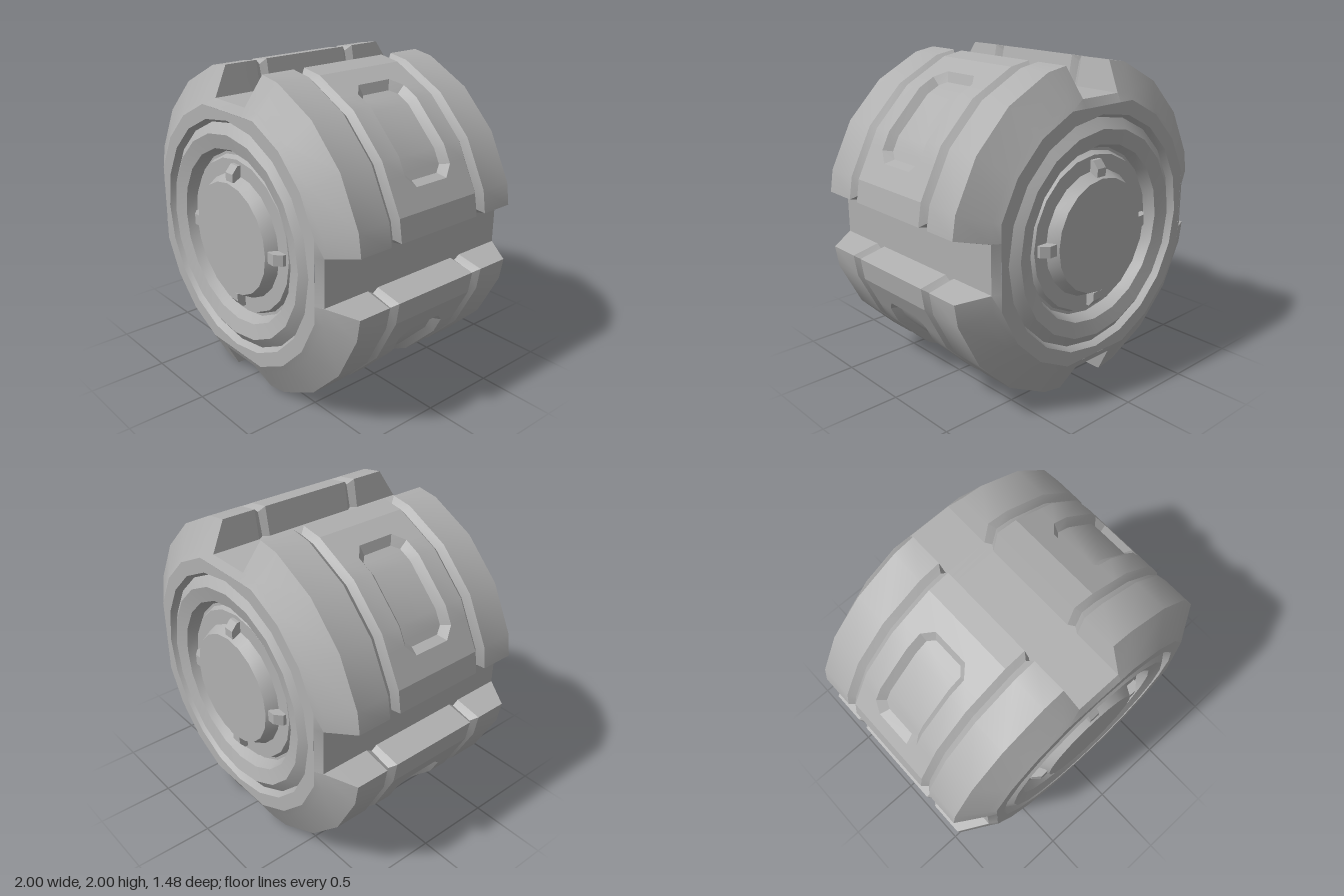
import * as THREE from 'three';
import { toCreasedNormals } from 'three/addons/utils/BufferGeometryUtils.js';

const SIDES = 20, R = 1.028, RIM_R = 0.814, RIM_FLAT = 0.775;
const CREASE = 0.45, DEG = Math.PI / 180;

// Collects quads (corners counter-clockwise from outside) into a creased geometry
function quadGeometry(quads) {
  const pos = [];
  for (const [a, b, c, d] of quads) pos.push(...a, ...b, ...c, ...a, ...c, ...d);
  const g = new THREE.BufferGeometry();
  g.setAttribute('position', new THREE.Float32BufferAttribute(pos, 3));
  return toCreasedNormals(g, CREASE);
}

// Outline of the drum with its four slots: floor edge, wall top, four facet corners, mirrored
function outline(z, r, slotX, slotY, floorX, floorY) {
  const quarter = [[floorY, floorX], [slotY, slotX]];
  for (const a of [18, 36, 54, 72]) quarter.push([r * Math.cos(a * DEG), r * Math.sin(a * DEG)]);
  quarter.push([slotX, slotY], [floorX, floorY]);
  const loop = [];
  for (let k = 0; k < 4; k++) {
    const c = [1, 0, -1, 0][k], s = [0, 1, 0, -1][k];
    for (const [x, y] of quarter) loop.push([x * c - y * s, x * s + y * c, z]);
  }
  return loop;
}
const full = z => outline(z, R, 0.18, 1, 0.145, 0.825);
const groove = z => outline(z, R - 0.033, 0.205, 0.966, 0.17, 0.825);

// Drum shell: chamfered ends, two V grooves; middle band left open for the pocket panels
function shellGeometry() {
  const half = [
    full(0.305), groove(0.342), full(0.382), full(0.6),
    outline(0.7, R + (RIM_R - R) * 0.8, 0.146, 0.826, 0.145, 0.825),
    outline(0.727, RIM_R, 0.145, RIM_FLAT, 0.145, RIM_FLAT),
  ];
  const back = half.map(l => l.map(([x, y, z]) => [x, y, -z])).reverse();
  const sections = [...back, ...half], quads = [];
  const n = sections[0].length, mid = back.length - 1;
  for (let k = 0; k < sections.length - 1; k++) {
    for (let i = 0; i < n; i++) {
      if (k === mid && i % 8 >= 2 && i % 8 <= 4) continue;
      const j = (i + 1) % n, a = sections[k], b = sections[k + 1];
      quads.push([a[i], a[j], b[j], b[i]]);
    }
  }
  return quadGeometry(quads);
}

// Point on the faceted drum at an angle, sunk by depth
function onDrum(angle, z, depth = 0) {
  const step = 360 / SIDES, local = ((angle % step) + step) % step - step / 2;
  const r = R * Math.cos(step / 2 * DEG) / Math.cos(local * DEG) - depth;
  return [r * Math.cos(angle * DEG), r * Math.sin(angle * DEG), z];
}

// Curved panel with a sunken eight-sided pocket
function panelGeometry() {
  const edge = 0.305, quads = [];
  const outA = [18, 25.5, 29.5, 36, 54, 60.5, 64.5, 72];
  const outW = [0.12, 0.12, 0.18, 0.18, 0.18, 0.18, 0.12, 0.12];
  const inA = [28, 30.5, 36, 54, 59.5, 62];
  const inW = [0.1, 0.14, 0.14, 0.14, 0.14, 0.1];
  const strip = (a0, a1, lo0, lo1, hi0, hi1, d) => quads.push(
    [onDrum(a0, lo0, d), onDrum(a1, lo1, d), onDrum(a1, hi1, d), onDrum(a0, hi0, d)]);
  for (let i = 0; i < 7; i++) {
    strip(outA[i], outA[i + 1], outW[i], outW[i + 1], edge, edge);
    strip(outA[i], outA[i + 1], -edge, -edge, -outW[i], -outW[i + 1]);
    if (i === 0 || i === 6) strip(outA[i], outA[i + 1], -0.12, -0.12, 0.12, 0.12);
  }
  const depth = 0.045;
  for (let i = 0; i < 5; i++) strip(inA[i], inA[i + 1], -inW[i], -inW[i + 1], inW[i], inW[i + 1], depth);
  // sloping pocket walls
  const ring = (as, ws, d) => [
    ...as.map((a, i) => onDrum(a, -ws[i], d)),
    ...as.map((a, i) => onDrum(a, ws[i], d)).reverse()];
  const outer = ring(outA.slice(1, 7), outW.slice(1, 7), 0), inner = ring(inA, inW, depth);
  for (let i = 0; i < outer.length; i++) {
    const j = (i + 1) % outer.length;
    quads.push([outer[i], outer[j], inner[j], inner[i]]);
  }
  return quadGeometry(quads);
}

// Flat rim around the end face
function rimGeometry() {
  const circle = (r, keepAxes) => {
    const pts = [];
    for (let i = 0; i < SIDES; i++) {
      if (!keepAxes && i % 5 === 0) continue;
      const a = i * 2 * Math.PI / SIDES;
      pts.push(new THREE.Vector2(r * Math.cos(a), r * Math.sin(a)));
    }
    return pts;
  };
  const shape = new THREE.Shape(circle(RIM_R, false));
  shape.holes.push(new THREE.Path(circle(0.725, true)));
  return new THREE.ShapeGeometry(shape).translate(0, 0, 0.727);
}

// Stepped rings and raised hub of the end face, outer edge to centre
function faceGeometry() {
  const profile = [
    [0.725, 0.727], [0.703, 0.685], [0.64, 0.731], [0.547, 0.708], [0.517, 0.635],
    [0.5, 0.635], [0.482, 0.67], [0.39, 0.67], [0.352, 0.74], [0, 0.74],
  ].map(p => new THREE.Vector2(...p));
  return toCreasedNormals(new THREE.LatheGeometry(profile, SIDES).rotateX(Math.PI / 2), CREASE);
}

// Small lug with a sloped outer half
function lugGeometry() {
  const shape = new THREE.Shape([
    [0.36, 0.65], [0.455, 0.65], [0.455, 0.69], [0.41, 0.728], [0.36, 0.728],
  ].map(p => new THREE.Vector2(...p)));
  return new THREE.ExtrudeGeometry(shape, { depth: 0.07, bevelEnabled: false })
    .translate(0, 0, -0.035).rotateX(Math.PI / 2);
}

export function createModel() {
  const model = new THREE.Group();
  model.name = 'slottedDrum';
  const grey = new THREE.MeshStandardMaterial({ color: 0xb0b0b0 });
  grey.name = 'grey';
  const add = (parent, name, geometry) => {
    const mesh = new THREE.Mesh(geometry, grey);
    mesh.name = name;
    parent.add(mesh);
    return mesh;
  };

  const drum = new THREE.Group();
  drum.name = 'drum';
  drum.position.y = 1;
  model.add(drum);
  add(drum, 'shell', shellGeometry());

  const panel = panelGeometry();
  for (let k = 0; k < 4; k++) add(drum, 'pocketPanel', panel).rotation.z = k * Math.PI / 2;

  // identical end faces
  const rim = rimGeometry(), face = faceGeometry(), lug = lugGeometry();
  for (const name of ['frontFace', 'backFace']) {
    const end = new THREE.Group();
    end.name = name;
    if (name === 'backFace') end.rotation.y = Math.PI;
    add(end, 'rim', rim);
    add(end, 'hub', face);
    for (let k = 0; k < 4; k++) add(end, 'lug', lug).rotation.z = k * Math.PI / 2;
    drum.add(end);
  }
  return model;
}
